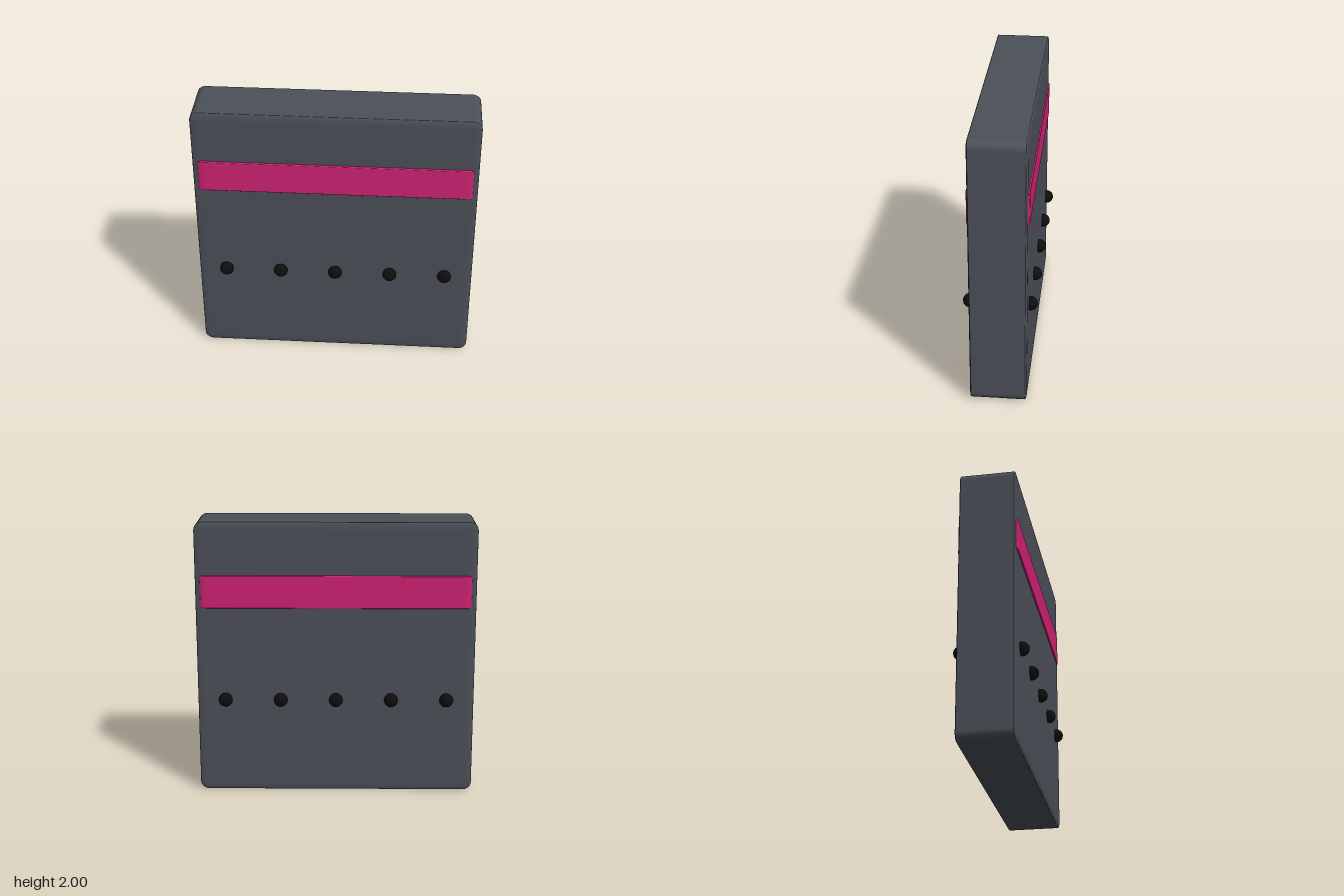
import * as THREE from 'three';
import { RoundedBoxGeometry } from 'three/addons/geometries/RoundedBoxGeometry.js';

const slate = new THREE.MeshStandardMaterial({ name: 'slate', color: 0x4c5159 });
const magenta = new THREE.MeshStandardMaterial({ name: 'magenta', color: 0xd02274 });
const black = new THREE.MeshStandardMaterial({ name: 'black', color: 0x0e0e0e });

// A unit rounded cube stretched to size, so its rounding flattens with it
const unitBlock = new RoundedBoxGeometry(1, 1, 1, 4, 0.03);

function block(name, material, width, height, depth, y) {
  const mesh = new THREE.Mesh(unitBlock, material);
  mesh.name = name;
  mesh.scale.set(width, height, depth);
  mesh.position.y = y;
  return mesh;
}

export function createModel() {
  const model = new THREE.Group();
  model.name = 'panel';

  // Slab and the band that stands slightly proud of both faces
  model.add(block('body', slate, 2, 2, 0.4, 1));
  model.add(block('stripe', magenta, 1.93, 0.24, 0.42, 1.5));

  // Row of round studs on the front and back
  const studGeometry = new THREE.SphereGeometry(0.05, 16, 12);
  for (const side of [1, -1]) {
    const row = new THREE.Group();
    row.name = side > 0 ? 'frontStuds' : 'backStuds';
    for (let i = -2; i <= 2; i++) {
      const stud = new THREE.Mesh(studGeometry, black);
      stud.name = 'stud';
      stud.position.set(i * 0.4, 0.7, side * 0.21);
      row.add(stud);
    }
    model.add(row);
  }
  return model;
}
